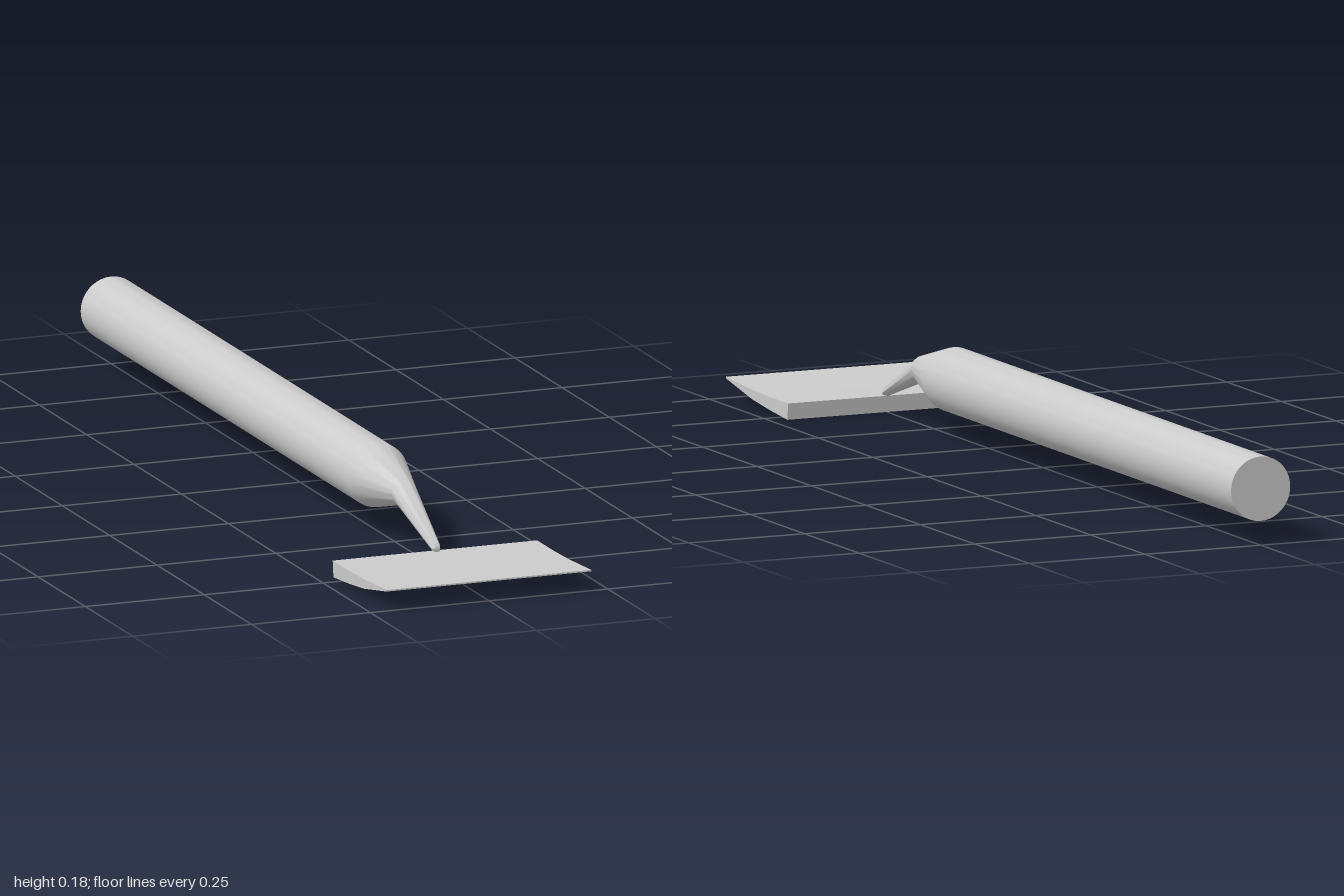
import * as THREE from 'three';
import { toCreasedNormals } from 'three/addons/utils/BufferGeometryUtils.js';

const material = new THREE.MeshStandardMaterial({ color: 0xcccccc });

function addPart(group, name, geometry, crease) {
  const mesh = new THREE.Mesh(toCreasedNormals(geometry, crease), material);
  mesh.name = name;
  group.add(mesh);
}

// Round rod along z; each section is [z, radius, height of centre].
function bentRod(sections) {
  const points = sections.map(([z, r]) => new THREE.Vector2(r, z));
  const geometry = new THREE.LatheGeometry(points, 40).rotateX(Math.PI / 2);
  const p = geometry.attributes.position;
  const ring = sections.length;
  for (let i = 0; i < p.count; i++) p.setY(i, p.getY(i) + sections[i % ring][2]);
  return geometry;
}

export function createModel() {
  const group = new THREE.Group();
  group.name = 'scraper';

  // Straight handle tapering into a bent neck
  addPart(group, 'handleAndNeck', bentRod([
    [-1, 0, 0.112],
    [-1, 0.064, 0.112],
    [0.41, 0.064, 0.112],
    [0.55, 0.026, 0.112],
    [0.715, 0.01, 0.042],
    [0.724, 0.007, 0.038],
    [0.727, 0, 0.037],
  ]), 0.9);

  // Wide wedge blade, thick at the back and sharp at the front
  const width = 0.43;
  const profile = new THREE.Shape([
    [0.717, 0.002], [0.8, 0.009], [0.88, 0.018], [1, 0.041],
    [1, 0.044], [0.88, 0.037], [0.8, 0.035], [0.713, 0.035],
  ].map(([z, y]) => new THREE.Vector2(z, y)));
  const blade = new THREE.ExtrudeGeometry(profile, { depth: width, bevelEnabled: false })
    .rotateY(-Math.PI / 2)
    .translate(width / 2, -0.002, 0);
  addPart(group, 'blade', blade, 0.6);

  return group;
}
